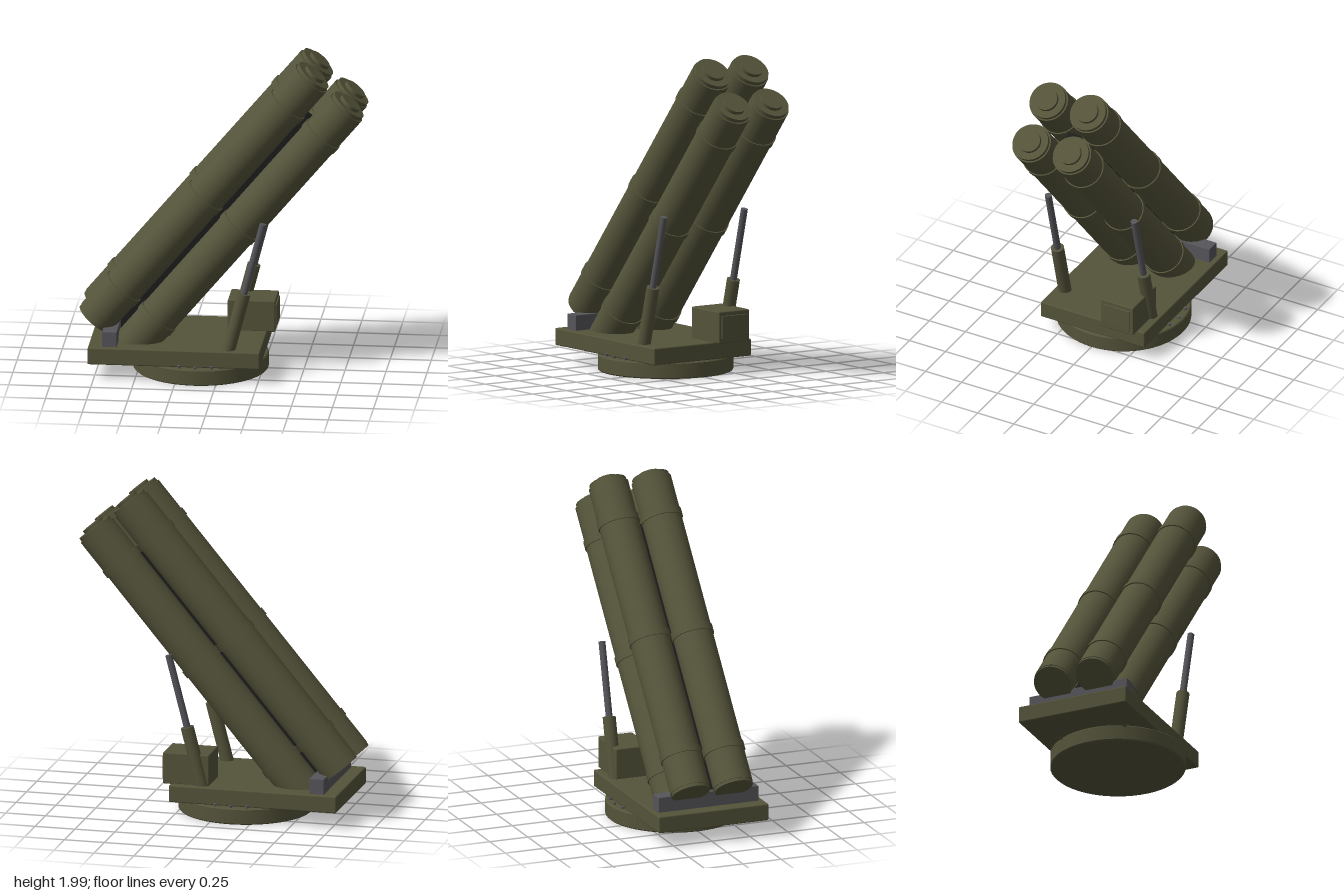
import * as THREE from 'three';
import { RoundedBoxGeometry } from 'three/addons/geometries/RoundedBoxGeometry.js';

const mat = (name, color) => {
  const m = new THREE.MeshStandardMaterial({ color });
  m.name = name;
  return m;
};

export function createModel() {
  const olive = mat('olive paint', 0x54533a);
  const steel = mat('dark steel', 0x55555a);
  const black = mat('black beam', 0x1c1c1c);

  const model = new THREE.Group();
  model.name = 'tubeLauncher';

  const add = (parent, name, geometry, material, x = 0, y = 0, z = 0) => {
    const mesh = new THREE.Mesh(geometry, material);
    mesh.name = name;
    mesh.position.set(x, y, z);
    parent.add(mesh);
    return mesh;
  };
  // Cylinder running from y0 to y1 along its parent's y axis
  const rod = (parent, name, r, y0, y1, material, x = 0, z = 0, sides = 32) =>
    add(parent, name, new THREE.CylinderGeometry(r, r, y1 - y0, sides), material, x, (y0 + y1) / 2, z);
  // Softly bevelled box given by its limits
  const block = (name, [x0, x1], [y0, y1], [z0, z1], material, bevel = 0.008) =>
    add(model, name, new RoundedBoxGeometry(x1 - x0, y1 - y0, z1 - z0, 2, bevel), material,
      (x0 + x1) / 2, (y0 + y1) / 2, (z0 + z1) / 2);

  // Round turntable with a ring of bolts
  const turntable = new THREE.Group();
  turntable.name = 'turntable';
  turntable.position.x = -0.128;
  model.add(turntable);
  const rim = [[0, 0], [0.404, 0], [0.404, 0], [0.411, 0.007], [0.411, 0.007], [0.411, 0.093],
    [0.411, 0.093], [0.404, 0.1], [0.404, 0.1], [0, 0.1]].map(([r, y]) => new THREE.Vector2(r, y));
  add(turntable, 'turntableDisc', new THREE.LatheGeometry(rim, 64), olive);
  for (let i = 0; i < 24; i++) {
    const a = (i / 24) * Math.PI * 2;
    rod(turntable, 'bolt', 0.011, 0.09, 0.114, steel, Math.cos(a) * 0.383, Math.sin(a) * 0.383, 8);
  }

  // Deck, pivot block and equipment cabinet
  block('deck', [-0.785, 0.265], [0.1, 0.205], [-0.36, 0.36], olive);
  block('pivotBlock', [-0.7, -0.61], [0.2, 0.3], [-0.327, 0.327], steel, 0.003);
  block('cabinet', [0.025, 0.315], [0.2, 0.397], [-0.31, -0.085], olive);
  block('cabinetDoor', [0.305, 0.323], [0.228, 0.37], [-0.29, -0.105], olive, 0.003);

  // Four canisters around a central beam, tilted towards +x
  const pack = new THREE.Group();
  pack.name = 'canisterPack';
  pack.position.set(-0.642, 0.248, 0);
  pack.rotation.z = -THREE.MathUtils.degToRad(40);
  model.add(pack);
  add(pack, 'centreBeam', new THREE.BoxGeometry(0.1, 1.78, 0.1), black, 0, 0.91, 0);
  for (const x of [-0.14, 0.14]) {
    for (const z of [-0.14, 0.14]) {
      const canister = new THREE.Group();
      canister.name = 'canister';
      canister.position.set(x, 0, z);
      pack.add(canister);
      rod(canister, 'canisterTube', 0.123, 0, 2.035, olive, 0, 0, 48);
      rod(canister, 'rearCap', 0.119, -0.02, 0.01, olive, 0, 0, 48);
      rod(canister, 'frontCap', 0.114, 2.02, 2.06, olive, 0, 0, 48);
      rod(canister, 'frontDisc', 0.07, 2.05, 2.082, olive);
      for (const y of [0.235, 1.013, 1.79]) {
        rod(canister, 'band', 0.13, y - 0.024, y + 0.024, olive, 0, 0, 48);
      }
    }
  }

  // Lifting rams on both sides
  for (const z of [-0.298, 0.298]) {
    const ram = new THREE.Group();
    ram.name = 'liftingRam';
    ram.position.set(0.07, 0.2, z);
    ram.rotation.z = -THREE.MathUtils.degToRad(14.6);
    model.add(ram);
    rod(ram, 'ramCylinder', 0.04, -0.05, 0.375, olive, 0, 0, 24);
    rod(ram, 'ramRod', 0.021, 0.35, 0.835, steel, 0, 0, 20);
  }

  return model;
}
